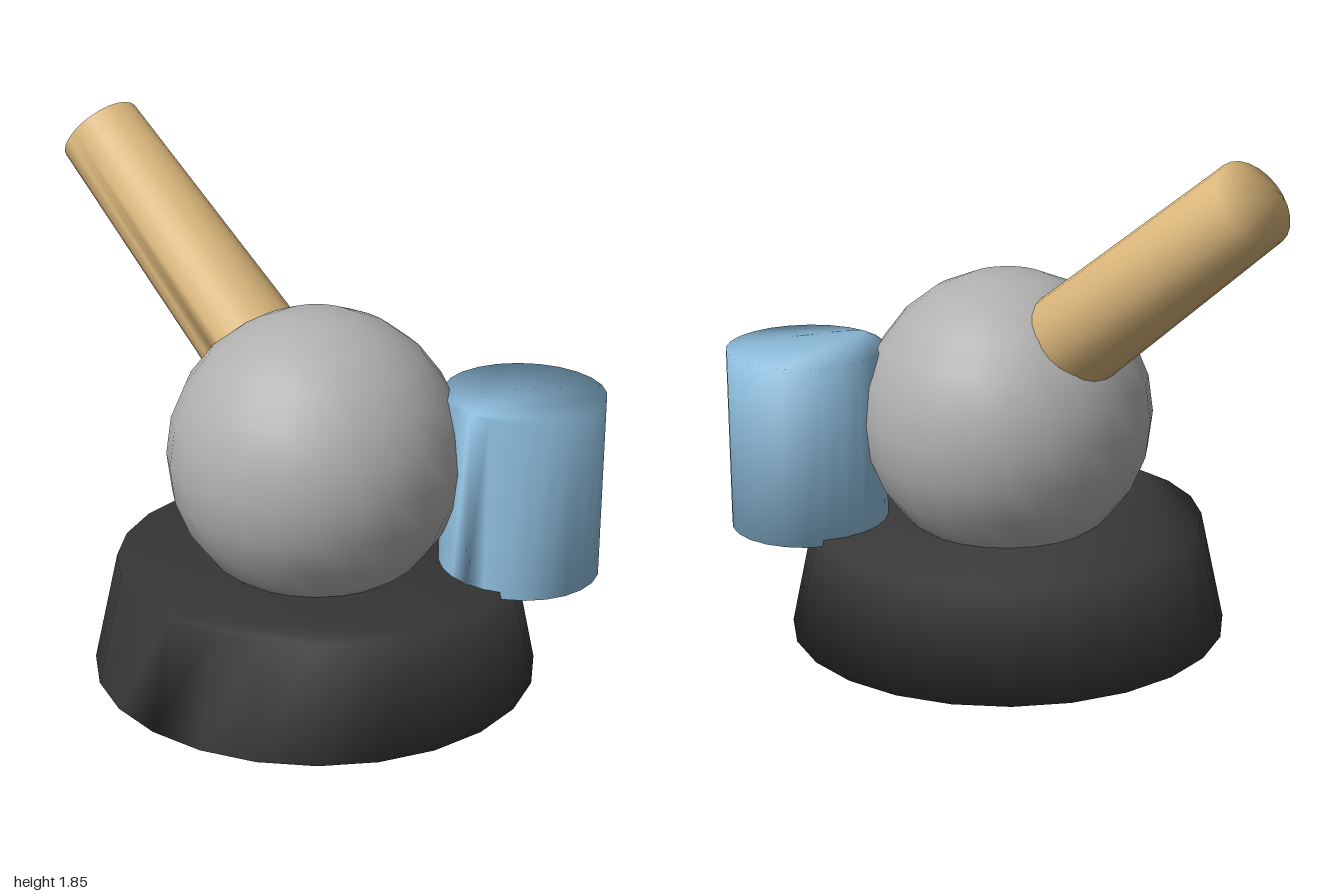
import * as THREE from 'three';
import { mergeVertices } from 'three/addons/utils/BufferGeometryUtils.js';

const SIDES = 24;

// Closed tapered cylinder with centreless caps, smooth-shaded across the rims
function softCylinder(topRadius, bottomRadius, height) {
  const geometry = new THREE.CylinderGeometry(topRadius, bottomRadius, height, SIDES, 1, true);
  const index = [...geometry.index.array];
  const bottom = SIDES + 1;
  for (let i = 1; i < SIDES - 1; i++) {
    index.push(0, i, i + 1);
    index.push(bottom, bottom + i + 1, bottom + i);
  }
  geometry.setIndex(index);
  geometry.deleteAttribute('uv');
  geometry.deleteAttribute('normal');
  const merged = mergeVertices(geometry);
  merged.computeVertexNormals();
  return merged;
}

function material(name, color) {
  const m = new THREE.MeshStandardMaterial({ color });
  m.name = name;
  return m;
}

export function createModel() {
  const model = new THREE.Group();
  model.name = 'model';

  const charcoal = material('charcoal', 0x383838);
  const grey = material('grey', 0xb0b0b0);
  const tan = material('tan', 0xdcb87c);
  const skyBlue = material('sky blue', 0x90c0e0);

  function add(name, geometry, mat, x, y, z) {
    const mesh = new THREE.Mesh(geometry, mat);
    mesh.name = name;
    mesh.position.set(x, y, z);
    model.add(mesh);
    return mesh;
  }

  // Tapered foot
  add('base', softCylinder(0.7, 0.785, 0.4), charcoal, 0.19, 0.2, 0);

  // Ball sunk into the base
  add('ball', new THREE.SphereGeometry(0.52, SIDES, 12), grey, 0.19, 0.79, 0);

  // Slanted handle running into the ball
  const handle = add('handle', softCylinder(0.153, 0.187, 1.2), tan, -0.433, 1.36, 0);
  handle.rotation.z = 0.906;

  // Upright canister at the back left
  add('canister', softCylinder(0.282, 0.282, 0.655), skyBlue, 0.717, 0.7025, -0.483);

  return model;
}
